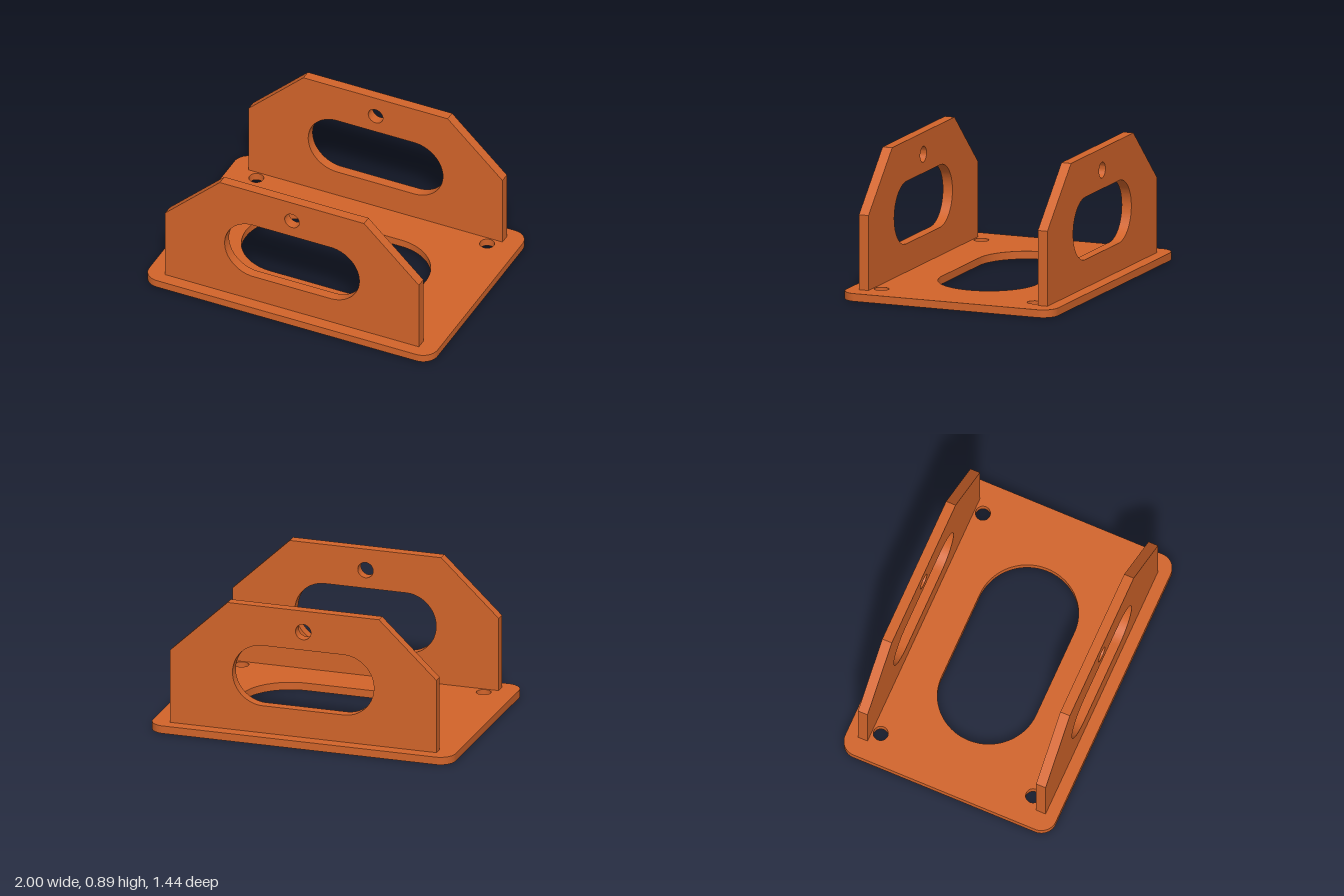
import * as THREE from 'three';
import { toCreasedNormals } from 'three/addons/utils/BufferGeometryUtils.js';

const BASE_T = 0.05, PLATE_T = 0.065;

// Closed outline with rounded corners, used for the base and for the slots
function roundedRect(target, cx, cy, hw, hh, r) {
  target.absarc(cx + hw - r, cy + hh - r, r, 0, Math.PI / 2);
  target.absarc(cx - hw + r, cy + hh - r, r, Math.PI / 2, Math.PI);
  target.absarc(cx - hw + r, cy - hh + r, r, Math.PI, Math.PI * 1.5);
  target.absarc(cx + hw - r, cy - hh + r, r, Math.PI * 1.5, Math.PI * 2);
  target.closePath();
  return target;
}

function roundHole(x, y, r) {
  return new THREE.Path().absarc(x, y, r, 0, Math.PI * 2, true);
}

function extrude(shape, depth) {
  const geometry = new THREE.ExtrudeGeometry(shape, { depth, bevelEnabled: false, curveSegments: 20 });
  return toCreasedNormals(geometry, Math.PI / 6);
}

export function createModel() {
  const group = new THREE.Group();
  group.name = 'mountingBracket';
  const material = new THREE.MeshStandardMaterial({ color: 0xd2642a });

  // Base plate with rounded corners, central slot and four screw holes
  const baseShape = roundedRect(new THREE.Shape(), 0, 0, 1, 0.72, 0.1);
  baseShape.holes.push(roundedRect(new THREE.Path(), 0, 0, 0.622, 0.322, 0.322));
  for (const x of [-0.8, 0.8]) {
    for (const z of [-0.52, 0.52]) baseShape.holes.push(roundHole(x, z, 0.047));
  }
  const base = new THREE.Mesh(extrude(baseShape, BASE_T).rotateX(-Math.PI / 2), material);
  base.name = 'basePlate';
  group.add(base);

  // Upright side plates with chamfered shoulders, a slot and a pin hole
  const plateShape = new THREE.Shape([
    [-0.88, BASE_T], [0.88, BASE_T], [0.88, 0.53], [0.5, 0.89], [-0.5, 0.89], [-0.88, 0.53],
  ].map(([x, y]) => new THREE.Vector2(x, y)));
  plateShape.holes.push(roundedRect(new THREE.Path(), 0, 0.43, 0.467, 0.2, 0.2));
  plateShape.holes.push(roundHole(0, 0.75, 0.051));
  const plateGeometry = extrude(plateShape, PLATE_T).translate(0, 0, -PLATE_T / 2);
  for (const [name, z] of [['frontPlate', 0.608], ['backPlate', -0.608]]) {
    const plate = new THREE.Mesh(plateGeometry, material);
    plate.name = name;
    plate.position.z = z;
    group.add(plate);
  }

  return group;
}
